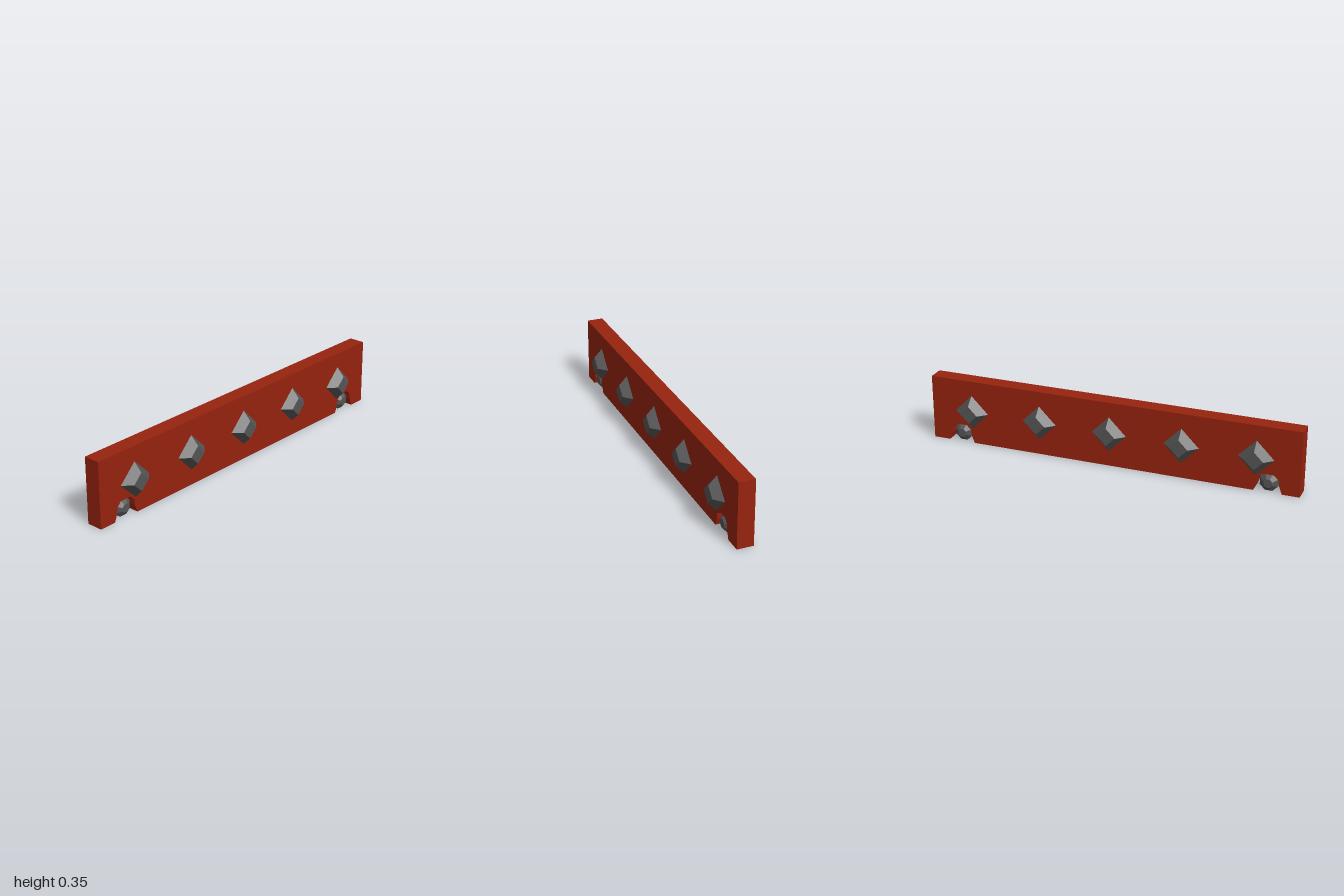
import * as THREE from 'three';

const red = new THREE.MeshStandardMaterial({ color: 0x97230f });
red.name = 'barrier red';
const steel = new THREE.MeshStandardMaterial({ color: 0x555555, flatShading: true });
steel.name = 'dark steel';

const HALF_DEPTH = 0.043;

// Long plate with an angular arch cut out for each wheel
function makePlate() {
  const notch = [[-0.073, 0], [-0.058, 0.04], [-0.055, 0.071], [-0.03, 0.096],
    [0.03, 0.096], [0.055, 0.071], [0.058, 0.04], [0.073, 0]];
  const points = [new THREE.Vector2(-1, 0)];
  for (const cx of [-0.837, 0.837]) {
    for (const [x, y] of notch) points.push(new THREE.Vector2(cx + x, y));
  }
  points.push(new THREE.Vector2(1, 0), new THREE.Vector2(1, 0.348), new THREE.Vector2(-1, 0.348));
  const geometry = new THREE.ExtrudeGeometry(new THREE.Shape(points), {
    depth: HALF_DEPTH * 2, bevelEnabled: false,
  });
  geometry.translate(0, 0, -HALF_DEPTH);
  const plate = new THREE.Mesh(geometry, red);
  plate.name = 'plate';
  return plate;
}

// Diamond stud: a four-sided frustum with its corners up, down, left and right
const studGeometry = new THREE.CylinderGeometry(0.048, 0.093, 0.044, 4);
studGeometry.rotateX(Math.PI / 2);
studGeometry.translate(0, 0, HALF_DEPTH + 0.022);

// Eight-sided wheel with bevelled ends, axle along z
const wheelProfile = [[0, -0.043], [0.024, -0.043], [0.05, -0.02], [0.05, 0.02], [0.024, 0.043], [0, 0.043]]
  .map(([r, y]) => new THREE.Vector2(r, y));
const wheelGeometry = new THREE.LatheGeometry(wheelProfile, 8, Math.PI / 8);
wheelGeometry.rotateX(Math.PI / 2);

export function createModel() {
  const model = new THREE.Group();
  model.name = 'studdedBarrier';
  model.add(makePlate());

  // Five studs on both faces
  for (let i = -2; i <= 2; i++) {
    for (const side of ['front', 'back']) {
      const stud = new THREE.Mesh(studGeometry, steel);
      stud.name = `${side}Stud`;
      stud.position.set(i * 0.386, 0.175, 0);
      if (side === 'back') stud.rotation.y = Math.PI;
      model.add(stud);
    }
  }

  // Wheels inside the arches
  for (const [name, x] of [['leftWheel', 0.837], ['rightWheel', -0.837]]) {
    const wheel = new THREE.Mesh(wheelGeometry, steel);
    wheel.name = name;
    wheel.position.set(x, 0.0465, 0);
    model.add(wheel);
  }
  return model;
}
